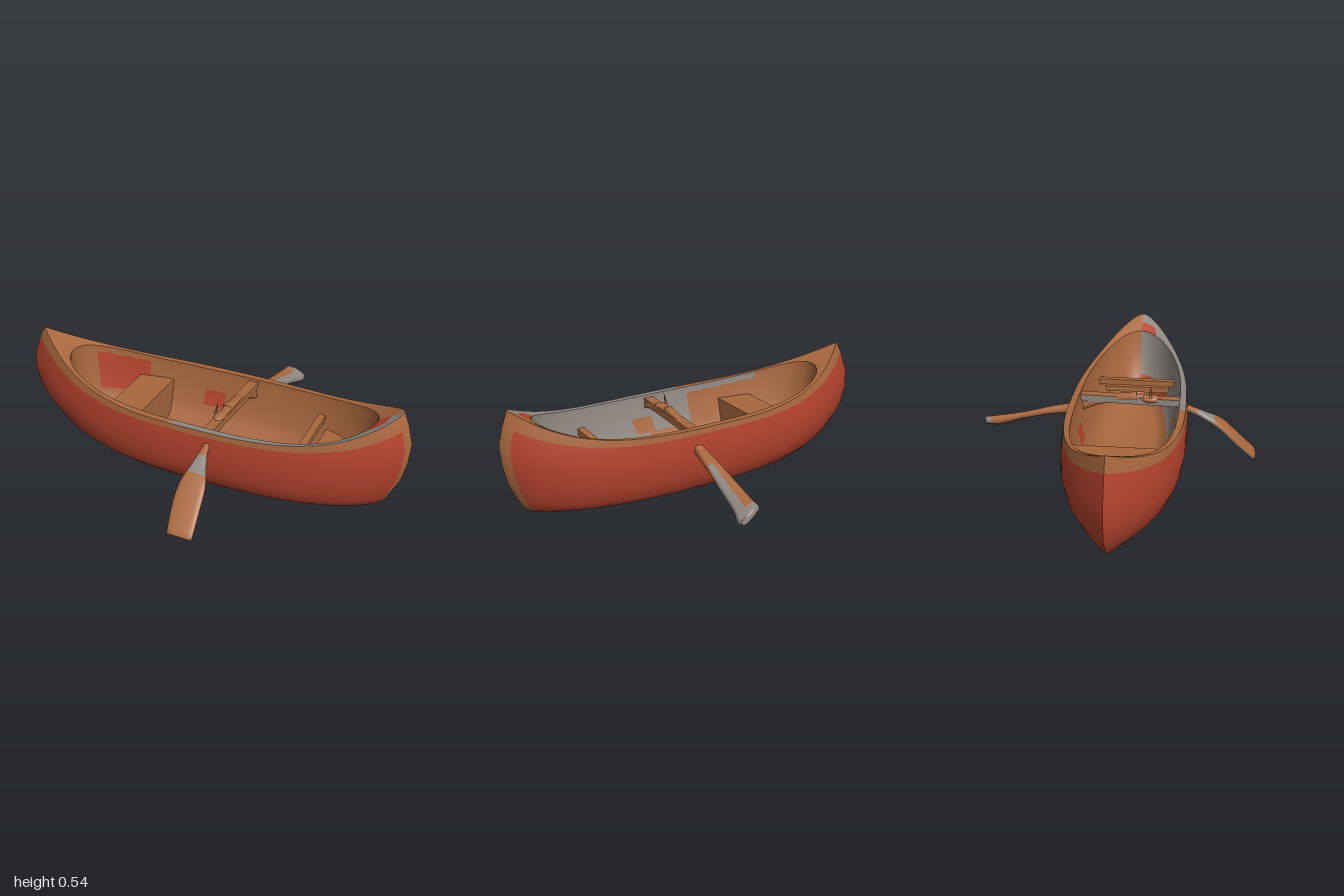
import * as THREE from 'three';

const material = (name, color) => {
  const m = new THREE.MeshStandardMaterial({ color, side: THREE.DoubleSide });
  m.name = name;
  return m;
};

// Surface over an i/j grid; pick(i, j) gives the material index of each cell.
function gridMesh(name, ni, nj, point, mats, pick) {
  const pos = [], cells = mats.map(() => []);
  for (let i = 0; i <= ni; i++) for (let j = 0; j <= nj; j++) pos.push(...point(i, j));
  for (let i = 0; i < ni; i++) for (let j = 0; j < nj; j++) {
    const a = i * (nj + 1) + j, b = a + nj + 1;
    cells[pick(i, j)].push(a, b, b + 1, a, b + 1, a + 1);
  }
  const geo = new THREE.BufferGeometry();
  geo.setAttribute('position', new THREE.Float32BufferAttribute(pos, 3));
  geo.setIndex(cells.flat());
  let start = 0;
  cells.forEach((c, k) => { geo.addGroup(start, c.length, k); start += c.length; });
  geo.computeVertexNormals();
  const mesh = new THREE.Mesh(geo, mats);
  mesh.name = name;
  return mesh;
}

const Z0 = 0.065; // hull centre line

// Level curves from keel to gunwale: y amidships, half width, left/right end x, left/right end y
const OUTER = [
  [0.006, 0, -0.78, 0.88, 0.012, 0.012],
  [0.009, 0.095, -0.785, 0.885, 0.016, 0.015],
  [0.014, 0.165, -0.79, 0.89, 0.022, 0.02],
  [0.035, 0.23, -0.83, 0.915, 0.045, 0.04],
  [0.07, 0.264, -0.9, 0.94, 0.1, 0.09],
  [0.13, 0.285, -0.965, 0.975, 0.18, 0.17],
  [0.2, 0.295, -0.995, 0.995, 0.27, 0.27],
  [0.27, 0.295, -0.99, 1, 0.37, 0.37],
  [0.335, 0.288, -0.945, 0.975, 0.485, 0.46],
  [0.362, 0.285, -0.91, 0.95, 0.545, 0.525],
];
const INNER = [
  [0.06, 0, -0.68, 0.7, 0.08, 0.08],
  [0.06, 0.13, -0.68, 0.7, 0.08, 0.08],
  [0.1, 0.185, -0.7, 0.74, 0.13, 0.13],
  [0.17, 0.212, -0.72, 0.78, 0.2, 0.21],
  [0.25, 0.235, -0.73, 0.82, 0.3, 0.31],
  [0.33, 0.25, -0.74, 0.835, 0.42, 0.42],
  [0.362, 0.252, -0.74, 0.84, 0.455, 0.455],
];

// Point on a level curve, s from -1 (left end) to 1 (right end), side -1 or 1
function level([yMid, w, xl, xr, yl, yr], s, side, [pl, ql, pr, qr]) {
  const a = Math.abs(s), right = s > 0;
  const taper = Math.pow(Math.max(0, 1 - Math.pow(a, right ? pr : pl)), right ? qr : ql);
  const rise = Math.pow(a, right ? 4 : 3.2) * ((right ? yr : yl) - yMid);
  return [(xl + xr) / 2 + (s * (xr - xl)) / 2, yMid + rise, Z0 + side * w * taper];
}
const outer = (row, s, side) => level(OUTER[row], s, side, [2.6, 1, 2.5, 0.65]);
const inner = (row, s, side) => level(INNER[row], s, side, [2.6, 0.47, 2.8, 0.5]);

// Stations, closer together towards the ends
const NS = 64;
const S = Array.from({ length: NS + 1 }, (_, i) => Math.sin(((i / NS) * 2 - 1) * Math.PI / 2));
const mid = (i) => (S[i] + S[i + 1]) / 2;
const within = (v, a, b) => v > a && v < b;

// Paddle: rounded sections along a path of [x, y, z, half width, half thickness, roll]
function paddle(name, path, mats, pick) {
  const N = 12;
  const at = (k) => path[Math.max(0, Math.min(path.length - 1, k))];
  const curve = (t, c) => { // smooth interpolation between sections
    const k = Math.min(path.length - 2, Math.floor(t)), f = t - k;
    const [p0, p1, p2, p3] = [at(k - 1)[c], at(k)[c], at(k + 1)[c], at(k + 2)[c]];
    return p1 + 0.5 * f * (p2 - p0 + f * (2 * p0 - 5 * p1 + 4 * p2 - p3 + f * (3 * (p1 - p2) + p3 - p0)));
  };
  const sub = 4, n = (path.length - 1) * sub;
  return gridMesh(name, n + 2, N, (i, j) => {
    const t = Math.max(0, Math.min(n, i - 1)) / sub, end = i === 0 || i === n + 2 ? 0 : 1;
    const [x, y, z, w, h, roll] = [0, 1, 2, 3, 4, 5].map((c) => curve(t, c));
    const t0 = Math.max(0, t - 0.02), t1 = Math.min(path.length - 1, t + 0.02);
    const d = new THREE.Vector2(curve(t1, 2) - curve(t0, 2), curve(t1, 1) - curve(t0, 1)).normalize();
    const a = (j / N) * Math.PI * 2, sq = (v) => Math.sign(v) * Math.pow(Math.abs(v), 0.6);
    const u0 = end * w * sq(Math.cos(a)), v0 = end * h * sq(Math.sin(a));
    const u = u0 * Math.cos(roll) - v0 * Math.sin(roll), v = u0 * Math.sin(roll) + v0 * Math.cos(roll);
    return [x + u, y + v * Math.abs(d.x), z - v * d.y * Math.sign(d.x)];
  }, mats, (i, j) => pick(Math.min(n, i) / sub, j));
}

// Seat fitted between the inner walls, from height y0 to y1
function seat(name, x0, x1, y0, y1, mat) {
  const halfWidth = (x) => inner(4, (x - 0.045) / 0.775, 1)[2] - Z0 + 0.01;
  const [a, b] = [halfWidth(x0), halfWidth(x1)];
  const shape = new THREE.Shape([[x0, -a], [x1, -b], [x1, b], [x0, a]].map((p) => new THREE.Vector2(...p)));
  const geo = new THREE.ExtrudeGeometry(shape, { depth: y1 - y0, bevelEnabled: false });
  geo.rotateX(-Math.PI / 2).translate(0, y0, Z0);
  // narrow the underside to follow the hull
  const p = geo.attributes.position;
  for (let i = 0; i < p.count; i++) {
    if (p.getY(i) < 0.15) p.setZ(i, Z0 + (p.getZ(i) - Z0) * 0.75);
  }
  geo.computeVertexNormals();
  const mesh = new THREE.Mesh(geo, mat);
  mesh.name = name;
  return mesh;
}

export function createModel() {
  const red = material('hull red', 0xb5432e);
  const wood = material('wood brown', 0xa9683e);
  const grey = material('worn grey', 0x8f8781);
  const mats = [red, wood, grey];
  const group = new THREE.Group();
  group.name = 'canoe';

  // Hull: section runs from the back gunwale under the keel to the front gunwale
  const R = OUTER.length - 1;
  group.add(gridMesh('hull', NS, 2 * R,
    (i, j) => outer(Math.abs(j - R), S[i], j < R ? -1 : 1), mats,
    (i, j) => {
      const front = j >= R, row = front ? j - R : R - 1 - j, s = mid(i);
      if (row === R - 1 || s > (front ? 0.982 : 0.97)) return 1; // gunwale band and right stem
      if (!front && row === 1 && Math.abs(s) < 0.88) return 1;   // bottom stripe
      if (front && row === 2 && s > -0.05) return 2;             // worn bilge
      return 0;
    }));

  // Inner skin, with worn grey and bare red patches
  const Q = INNER.length - 1;
  group.add(gridMesh('innerHull', NS, 2 * Q,
    (i, j) => inner(Math.abs(j - Q), S[i], j < Q ? 1 : -1), mats,
    (i, j) => {
      const front = j < Q, row = front ? Q - 1 - j : j - Q, s = mid(i);
      if (row < 2) return 1;
      if (!front) {
        const patch = (within(row, 2, 5) && within(s, -0.92, -0.6)) || (row === 3 && within(s, -0.2, -0.03));
        return patch ? 0 : 1;
      }
      if (row === 2) return s > 0.72 ? 0 : s > 0.15 ? 2 : 1;
      if (row === 3 && within(s, 0.1, 0.25)) return 1;
      return s > (row === 5 ? -0.72 : -0.2) ? 2 : 1;
    }));

  // Gunwale tops, widening into the end decks
  for (const side of [-1, 1]) {
    group.add(gridMesh(side > 0 ? 'frontGunwale' : 'backGunwale', NS, 2,
      (i, j) => {
        const a = outer(R, S[i], side), b = inner(Q, S[i], side);
        const f = side > 0 ? j / 2 : 1 - j / 2;
        return a.map((v, k) => v + (b[k] - v) * f);
      }, mats,
      (i, j) => {
        if (side < 0 || S[i] < -0.1) return 1;
        return j === 1 && S[i] > 0.95 ? 0 : 2;
      }));
  }

  // Seats and cross rail
  group.add(seat('leftSeat', -0.47, -0.29, 0.08, 0.27, wood));
  group.add(seat('rightSeat', 0.56, 0.67, 0.19, 0.22, wood));
  group.add(seat('rightThwart', 0.51, 0.545, 0.25, 0.28, wood));

  // Thwart across the middle, worn on its left-hand face
  const thwart = new THREE.Mesh(new THREE.BoxGeometry(0.05, 0.035, 0.53), [wood, grey, wood, wood, wood, wood]);
  thwart.name = 'thwart';
  thwart.position.set(0.135, 0.33, Z0);
  thwart.rotation.y = -0.05;
  group.add(thwart);

  // Paddles leaning out over each side
  group.add(paddle('frontPaddle', [
    [0.13, 0.345, 0.08, 0.022, 0.018, 0], [0.135, 0.325, 0.25, 0.018, 0.016, 0],
    [0.14, 0.29, 0.36, 0.015, 0.015, 0], [0.148, 0.25, 0.45, 0.035, 0.014, 0],
    [0.155, 0.205, 0.53, 0.062, 0.014, 0], [0.157, 0.135, 0.605, 0.068, 0.014, 0],
    [0.17, 0.04, 0.705, 0.062, 0.013, 0],
  ], mats, (t, j) => ((j >= 6 && t > 2) || within(t, 2.7, 3.6) ? 2 : 1)));
  group.add(paddle('backPaddle', [
    [0.13, 0.35, 0.1, 0.024, 0.02, 0], [0.14, 0.32, -0.08, 0.022, 0.02, 0],
    [0.152, 0.265, -0.22, 0.024, 0.022, 0], [0.163, 0.235, -0.36, 0.032, 0.018, -0.2],
    [0.172, 0.195, -0.5, 0.04, 0.018, -0.4], [0.18, 0.16, -0.62, 0.048, 0.024, -0.5],
    [0.194, 0.145, -0.69, 0.058, 0.02, -0.5], [0.205, 0.147, -0.712, 0.042, 0.014, -0.5],
  ], mats, (t, j) => ((t > 3.2 && within(j, 0, 3)) || (t > 3.8 && (j === 0 || j > 8)) || t > 5.6 ? 2 : 1)));

  // Grip on the thwart with a small loose cord end
  const grip = new THREE.Mesh(new THREE.SphereGeometry(0.035, 12, 8), wood);
  grip.name = 'grip';
  grip.scale.set(0.9, 0.6, 1.5);
  grip.position.set(0.125, 0.34, 0.17);
  const cord = new THREE.Mesh(new THREE.ConeGeometry(0.008, 0.07, 6), wood);
  cord.name = 'cordEnd';
  cord.position.set(0.107, 0.385, 0.17);
  cord.rotation.z = -0.2;
  group.add(grip, cord);

  return group;
}
